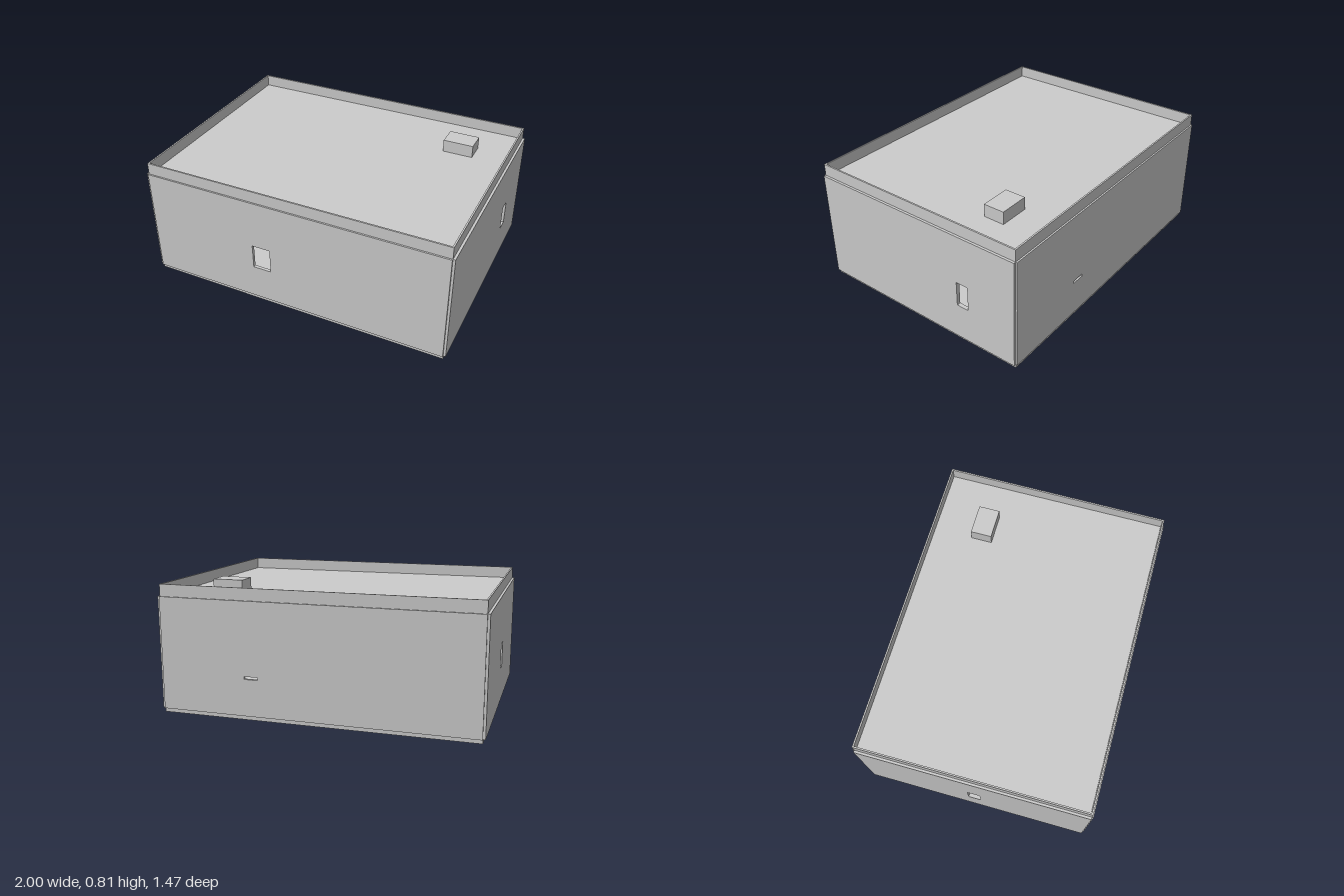
import * as THREE from 'three';

const material = new THREE.MeshStandardMaterial({ color: 0xcccccc, flatShading: true });

function addBox(parent, name, [x0, x1], [y0, y1], [z0, z1]) {
  const mesh = new THREE.Mesh(new THREE.BoxGeometry(x1 - x0, y1 - y0, z1 - z0), material);
  mesh.position.set((x0 + x1) / 2, (y0 + y1) / 2, (z0 + z1) / 2);
  mesh.name = name;
  parent.add(mesh);
}

// Upright sheet with a rectangular opening, its inner face at z = inner
function addSheet(parent, name, halfWidth, y0, y1, opening, inner, thickness) {
  const rect = (path, a, b, c, d) => path.moveTo(a, c).lineTo(b, c).lineTo(b, d).lineTo(a, d).closePath();
  const shape = rect(new THREE.Shape(), -halfWidth, halfWidth, y0, y1);
  shape.holes.push(rect(new THREE.Path(), ...opening));
  const geometry = new THREE.ExtrudeGeometry(shape, { depth: thickness, bevelEnabled: false });
  const mesh = new THREE.Mesh(geometry, material);
  mesh.position.z = inner;
  mesh.name = name;
  parent.add(mesh);
}

export function createModel() {
  const building = new THREE.Group();
  building.name = 'building';

  // Each side: thin wall rising into the parapet, with a cladding panel outside.
  // Openings are [left, right, bottom, top] as seen facing that side.
  const sides = [
    { name: 'front', turn: 0, wall: 0.985, panel: 0.985, face: 0.725, opening: [-0.26, -0.14, 0.255, 0.415] },
    { name: 'back', turn: Math.PI, wall: 0.985, panel: 0.985, face: 0.725, opening: [-0.44, -0.35, 0.255, 0.272] },
    { name: 'left', turn: Math.PI / 2, wall: 0.715, panel: 0.725, face: 0.985, opening: [0.32, 0.4, 0.255, 0.415] },
    { name: 'right', turn: -Math.PI / 2, wall: 0.715, panel: 0.725, face: 0.985, opening: [-0.04, 0.04, 0.255, 0.415] },
  ];
  for (const s of sides) {
    const side = new THREE.Group();
    side.name = s.name + 'Side';
    side.rotation.y = s.turn;
    const cladding = s.face > 0.9 ? 0.015 : 0.01;
    addSheet(side, s.name + 'Wall', s.wall, 0, 0.805, s.opening, s.face - 0.01, 0.01);
    addSheet(side, s.name + 'Cladding', s.panel, 0.025, 0.73, s.opening, s.face, cladding);
    building.add(side);
  }

  // Floor and roof slabs between the walls
  addBox(building, 'floorSlab', [-0.975, 0.975], [0, 0.025], [-0.715, 0.715]);
  addBox(building, 'roofSlab', [-0.975, 0.975], [0.71, 0.73], [-0.715, 0.715]);

  // Rooftop unit
  addBox(building, 'rooftopUnit', [0.56, 0.755], [0.73, 0.81], [-0.465, -0.33]);

  return building;
}
